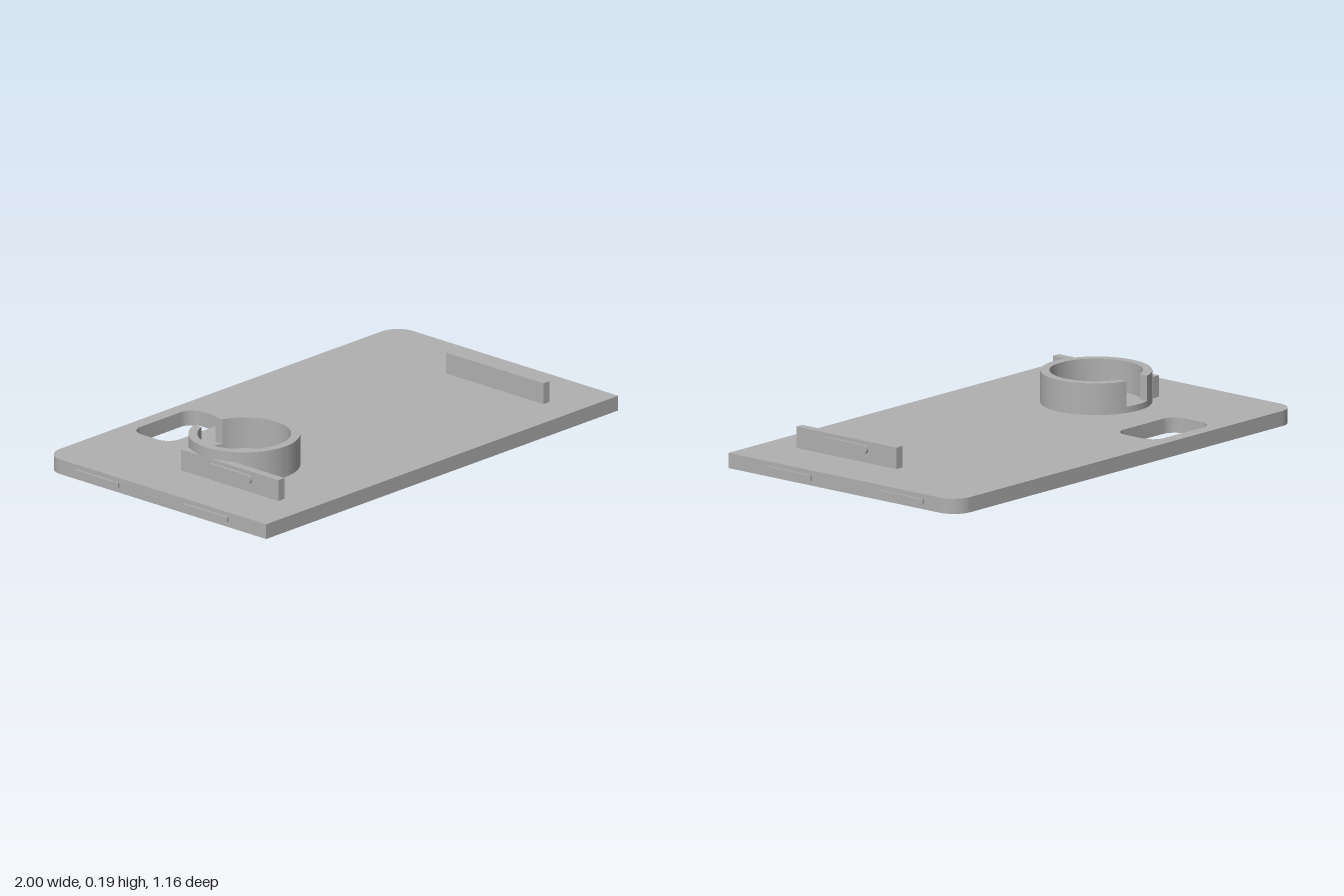
import * as THREE from 'three';
import { toCreasedNormals } from 'three/addons/utils/BufferGeometryUtils.js';

const TOP = 0.06; // upper face of the plate

export function createModel() {
  const model = new THREE.Group();
  const grey = new THREE.MeshStandardMaterial({ color: 0xb0b0b0 });
  grey.name = 'plain grey';

  const add = (name, geometry, x = 0, y = 0, z = 0) => {
    const mesh = new THREE.Mesh(geometry, grey);
    mesh.name = name;
    mesh.position.set(x, y, z);
    model.add(mesh);
    return mesh;
  };
  const extrude = (shape, depth, curveSegments = 12) => toCreasedNormals(
    new THREE.ExtrudeGeometry(shape, { depth, curveSegments, bevelEnabled: false }), 0.5);
  // Outline drawn in plan (shape y = -z), raised upwards
  const raise = (shape, height, segments) => extrude(shape, height, segments).rotateX(-Math.PI / 2);

  // Rectangle with rounded corners, centred on (cx, cy)
  const rounded = (path, cx, cy, w, h, r) => {
    const a = w / 2 - r, b = h / 2 - r;
    path.absarc(cx + a, cy + b, r, 0, Math.PI / 2);
    path.absarc(cx - a, cy + b, r, Math.PI / 2, Math.PI);
    path.absarc(cx - a, cy - b, r, Math.PI, Math.PI * 1.5);
    path.absarc(cx + a, cy - b, r, Math.PI * 1.5, Math.PI * 2);
    path.closePath();
    return path;
  };

  // Plate: square front corners, rounded back corners, rounded window
  const plate = new THREE.Shape();
  const px = 0.992, pz = 0.58, pr = 0.085;
  plate.moveTo(-px, -pz);
  plate.lineTo(px, -pz);
  plate.absarc(px - pr, pz - pr, pr, 0, Math.PI / 2);
  plate.absarc(-px + pr, pz - pr, pr, Math.PI / 2, Math.PI);
  plate.closePath();
  plate.holes.push(rounded(new THREE.Path(), -0.4, 0.42, 0.345, 0.205, 0.06));
  add('plate', raise(plate, TOP));

  // Cup ring: low full ring with a taller wall notched at the back
  const cx = -0.55, cz = 0.055, R = 0.215, r = 0.18, notch = 0.06, sill = 0.025;
  const base = new THREE.Shape().absarc(0, 0, R, 0, Math.PI * 2);
  base.holes.push(new THREE.Path().absarc(0, 0, r, 0, Math.PI * 2));
  add('ringBase', raise(base, sill, 64), cx, TOP, cz);

  const wall = new THREE.Shape();
  const ao = Math.asin(notch / R), ai = Math.asin(notch / r), back = Math.PI / 2;
  wall.absarc(0, 0, R, back + ao, back + Math.PI * 2 - ao);
  wall.absarc(0, 0, r, back + Math.PI * 2 - ai, back + ai, true);
  wall.closePath();
  add('ringWall', raise(wall, 0.1, 64), cx, TOP + sill, cz);

  // Mirrored rails, their rounded nubs and the plate's edge tabs
  for (const [side, label] of [[1, 'left'], [-1, 'right']]) {
    const railX = side > 0 ? 0.744 : -0.75;
    add(label + 'Rail', new THREE.BoxGeometry(0.034, 0.085, 0.51), railX, TOP + 0.0425, 0.18);

    const nub = extrude(rounded(new THREE.Shape(), 0, 0, 0.228, 0.035, 0.0174), 0.01)
      .rotateY(side * Math.PI / 2);
    add(label + 'RailNub', nub, railX + side * 0.017, 0.112, 0.184);

    for (const [z, end] of [[0.268, 'Front'], [-0.302, 'Back']]) {
      add(label + end + 'EdgeTab', new THREE.BoxGeometry(0.012, 0.02, 0.228), side * 0.994, 0.031, z);
    }
  }
  return model;
}
